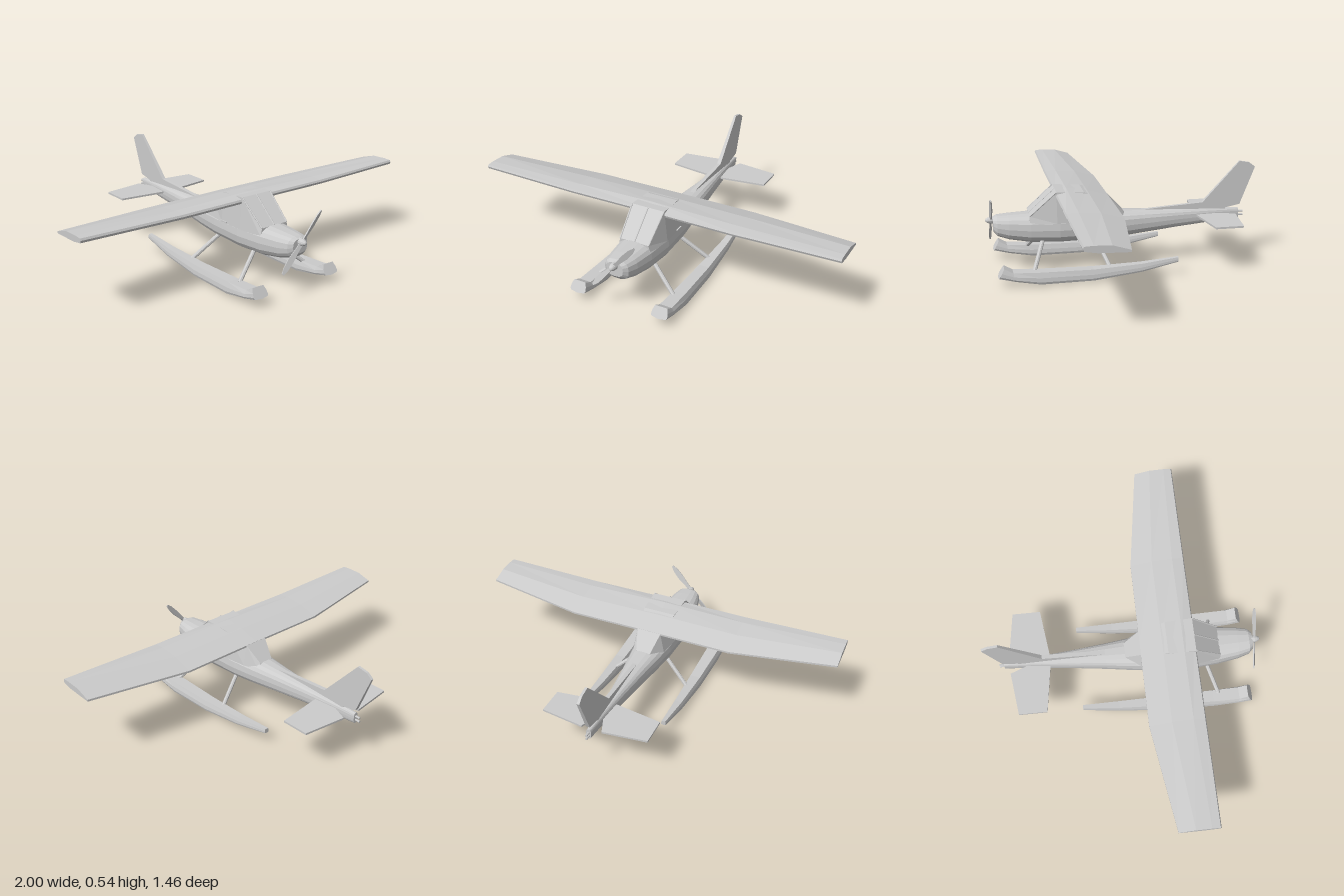
import * as THREE from 'three';

const mat = new THREE.MeshStandardMaterial({ color: 0xcccccc, flatShading: true, side: THREE.DoubleSide });
const V = (x, y, z) => new THREE.Vector3(x, y, z);

function mesh(name, geo, parent) {
  const m = new THREE.Mesh(geo, mat);
  m.name = name;
  parent.add(m);
  return m;
}

// Skin through rings of equal point count, with flat end caps
function loft(rings) {
  const pos = [];
  const tri = (...p) => p.forEach(v => pos.push(v.x, v.y, v.z));
  const n = rings[0].length;
  for (let i = 0; i < rings.length - 1; i++) {
    for (let j = 0; j < n; j++) {
      const k = (j + 1) % n, r = rings[i], s = rings[i + 1];
      tri(r[j], r[k], s[k]);
      tri(r[j], s[k], s[j]);
    }
  }
  const first = rings[0], last = rings[rings.length - 1];
  for (let j = 1; j < n - 1; j++) {
    tri(first[0], first[j + 1], first[j]);
    tri(last[0], last[j], last[j + 1]);
  }
  const g = new THREE.BufferGeometry();
  g.setAttribute('position', new THREE.Float32BufferAttribute(pos, 3));
  g.computeVertexNormals();
  return g;
}

// Flat plate centred on its thickness
function plate(points, depth) {
  const shape = new THREE.Shape(points.map(p => new THREE.Vector2(...p)));
  return new THREE.ExtrudeGeometry(shape, { depth, bevelEnabled: false }).translate(0, 0, -depth / 2);
}

// Flattened rod between two points
function rod(name, a, b, r, parent) {
  const m = mesh(name, new THREE.CylinderGeometry(r, r, a.distanceTo(b), 8), parent);
  m.position.copy(a).add(b).multiplyScalar(0.5);
  m.quaternion.setFromUnitVectors(V(0, 1, 0), b.clone().sub(a).normalize());
  return m;
}

// Rounded-box section of the fuselage
function hullRing(z, half, low, high) {
  const ring = [], e = 0.75, n = 18;
  for (let i = 0; i < n; i++) {
    const a = (i / n) * Math.PI * 2, c = Math.cos(a), s = Math.sin(a);
    ring.push(V(half * Math.sign(c) * Math.abs(c) ** e,
      (low + high) / 2 + (high - low) / 2 * Math.sign(s) * Math.abs(s) ** e, z));
  }
  return ring;
}

function createFloat(side) {
  // z of deck, z of keel, half width, centre x, deck y, keel y
  const stations = [
    [-0.25, -0.25, 0.013, 0.228, 0.096, 0.070],
    [-0.05, -0.05, 0.026, 0.230, 0.077, 0.030],
    [0.20, 0.20, 0.037, 0.231, 0.067, 0.003],
    [0.47, 0.47, 0.043, 0.232, 0.071, 0.003],
    [0.61, 0.60, 0.044, 0.232, 0.077, 0.029],
    [0.655, 0.685, 0.044, 0.232, 0.102, 0.049]
  ];
  const rings = stations.map(([zt, zb, h, x, top, low]) => {
    const at = (u, t) => V(side * x + u * h, low + (top - low) * t, zb + (zt - zb) * t);
    return [at(1, 0.28), at(0.95, 0.6), at(0.75, 1), at(-0.75, 1), at(-0.95, 0.6),
      at(-1, 0.28), at(-0.9, 0.1), at(0, 0), at(0.9, 0.1)];
  });
  return loft(rings);
}

function createPropeller() {
  const prop = new THREE.Group();
  prop.name = 'propeller';
  const blade = [[0, -0.009], [0.05, -0.011], [0.10, -0.017], [0.15, -0.014], [0.18, -0.006],
    [0.182, 0.005], [0.15, 0.013], [0.10, 0.014], [0.05, 0.010], [0, 0.009]];
  for (const turn of [0, Math.PI]) {
    const pivot = new THREE.Group();
    pivot.rotation.z = 0.85 + turn;
    const m = mesh('propellerBlade', plate(blade, 0.006), pivot);
    m.rotation.x = 0.35;
    prop.add(pivot);
  }
  const profile = [[0, 0.028], [0.008, 0.025], [0.015, 0.014], [0.019, 0], [0.019, -0.025]];
  const spinner = new THREE.LatheGeometry(profile.reverse().map(p => new THREE.Vector2(...p)), 12);
  mesh('spinner', spinner.rotateX(Math.PI / 2), prop);
  prop.position.set(0, 0.284, 0.702);
  return prop;
}

export function createModel() {
  const plane = new THREE.Group();
  plane.name = 'seaplane';

  // Fuselage: z, half width, underside, top
  const hull = [
    [-0.645, 0.014, 0.222, 0.280],
    [-0.50, 0.024, 0.211, 0.286],
    [-0.30, 0.043, 0.194, 0.293],
    [-0.10, 0.066, 0.175, 0.300],
    [0.02, 0.083, 0.165, 0.305],
    [0.15, 0.100, 0.159, 0.312],
    [0.35, 0.110, 0.157, 0.317],
    [0.50, 0.098, 0.163, 0.317],
    [0.61, 0.082, 0.182, 0.313],
    [0.67, 0.066, 0.202, 0.309],
    [0.69, 0.046, 0.225, 0.300]
  ];
  mesh('fuselage', loft(hull.map(h => hullRing(...h))), plane);

  // Cabin: z, half width at sill, half width at roof, roof height
  const cabin = [
    [0.00, 0.060, 0.040, 0.302],
    [0.08, 0.088, 0.066, 0.388],
    [0.22, 0.104, 0.088, 0.430],
    [0.365, 0.108, 0.092, 0.438],
    [0.505, 0.090, 0.080, 0.314]
  ];
  mesh('cabin', loft(cabin.map(([z, a, b, y]) =>
    [V(a, 0.275, z), V(b, y, z), V(-b, y, z), V(-a, 0.275, z)])), plane);

  // Windshield pillars and door handles
  for (const x of [-1, 0, 1]) {
    rod('windshieldPillar', V(x * 0.080, 0.314, 0.505), V(x * 0.090, 0.437, 0.367), 0.004, plane);
  }
  for (const s of [-1, 1]) {
    mesh('doorHandle', new THREE.BoxGeometry(0.012, 0.007, 0.045), plane).position.set(s * 0.104, 0.281, 0.24);
  }

  // Wing: x, trailing z, then heights of leading edge, crest and trailing edge
  const wing = [
    [1.0, 0.16, 0.428, 0.440, 0.408],
    [0.45, 0.08, 0.416, 0.430, 0.383],
    [0, 0.08, 0.418, 0.438, 0.385]
  ];
  const wingRing = (x, tz, lead, crest, trail, t) => {
    const c = 0.367 - tz;
    return [V(x, trail + 0.004, tz), V(x, (crest + trail) / 2 + 0.013, tz + c * 0.4),
      V(x, crest, tz + c * 0.78), V(x, lead + 0.010, 0.363), V(x, lead, 0.368),
      V(x, lead - 0.012, 0.363), V(x, lead - 0.022, tz + c * 0.7), V(x, trail - 0.006, tz)];
  };
  const span = [...wing.map(([x, ...r]) => [-x, ...r]), ...wing.slice(0, 2).reverse()];
  mesh('wing', loft(span.map(w => wingRing(...w))), plane);

  // Tailplane with rudder cut-out
  const half = [[0, -0.40], [0.03, -0.40], [0.285, -0.435], [0.285, -0.585], [0.055, -0.615], [0.022, -0.53], [0, -0.53]];
  const tail = [...half, ...half.map(([x, z]) => [-x, z]).reverse()].map(([x, z]) => [x, -z]);
  mesh('tailplane', plate(tail, 0.010).rotateX(-Math.PI / 2), plane).position.y = 0.256;

  // Fin with long dorsal fillet, thinning towards the tip
  const fin = plate([[-0.05, 0.295], [-0.20, 0.306], [-0.44, 0.322], [-0.645, 0.542], [-0.70, 0.532],
    [-0.733, 0.507], [-0.65, 0.302], [-0.57, 0.287], [-0.56, 0.265], [-0.06, 0.28]], 0.02).rotateY(-Math.PI / 2);
  const p = fin.attributes.position;
  for (let i = 0; i < p.count; i++) {
    p.setX(i, p.getX(i) * (1.15 - 0.5 * (p.getY(i) - 0.29) / 0.25));
  }
  fin.computeVertexNormals();
  mesh('fin', fin, plane);

  // Tail cone fittings
  for (const y of [0.240, 0.260]) {
    rod('tailFitting', V(0, y, -0.63), V(0, y, -0.672), 0.006, plane);
  }

  // Floats and their struts
  for (const s of [-1, 1]) {
    mesh('float', createFloat(s), plane);
    rod('frontStrut', V(s * 0.06, 0.19, 0.435), V(s * 0.215, 0.065, 0.50), 0.011, plane);
    rod('rearStrut', V(s * 0.06, 0.19, 0.165), V(s * 0.215, 0.06, 0.11), 0.011, plane);
  }

  plane.add(createPropeller());
  return plane;
}
